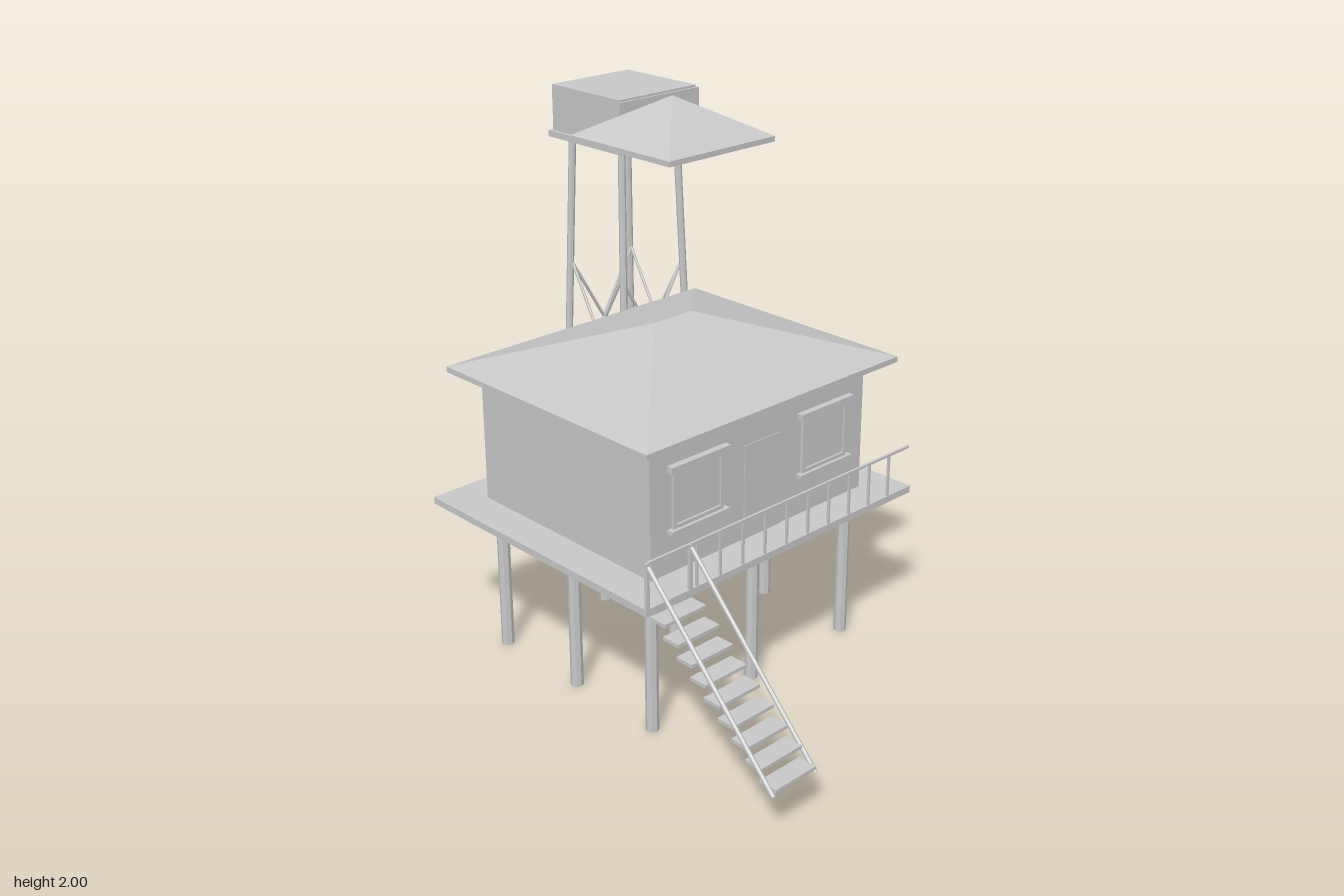
import * as THREE from 'three';

const grey = new THREE.MeshStandardMaterial({ color: 0xc8c8c8, flatShading: true, side: THREE.DoubleSide });
grey.name = 'pale grey';

const HOUSE_Z = -0.105;

function add(parent, name, geometry) {
  const mesh = new THREE.Mesh(geometry, grey);
  mesh.name = name;
  parent.add(mesh);
  return mesh;
}

// box given by its minimum and maximum on each axis
function box(parent, name, [x0, x1], [y0, y1], [z0, z1]) {
  const mesh = add(parent, name, new THREE.BoxGeometry(x1 - x0, y1 - y0, z1 - z0));
  mesh.position.set((x0 + x1) / 2, (y0 + y1) / 2, (z0 + z1) / 2);
  return mesh;
}

// straight round bar between two points
function bar(parent, name, a, b, radius, sides = 8) {
  const from = new THREE.Vector3(...a), to = new THREE.Vector3(...b);
  const dir = to.clone().sub(from);
  const mesh = add(parent, name, new THREE.CylinderGeometry(radius, radius, dir.length(), sides));
  mesh.position.copy(from).add(to).multiplyScalar(0.5);
  mesh.quaternion.setFromUnitVectors(new THREE.Vector3(0, 1, 0), dir.normalize());
  return mesh;
}

// hipped roof with an upright lip; a ridge of 0 makes a pyramid
function hipRoof(halfX, halfZ, lip, height, ridge, closed) {
  const ring = y => [[-halfX, y, halfZ], [halfX, y, halfZ], [halfX, y, -halfZ], [-halfX, y, -halfZ]];
  const low = ring(0), top = ring(lip);
  const left = [-ridge, height, 0], right = [ridge, height, 0];
  const peaks = [[left, right], [right, right], [right, left], [left, left]];
  const points = [];
  const quad = (a, b, c, d) => points.push(...a, ...b, ...c, ...a, ...c, ...d);
  for (let i = 0; i < 4; i++) {
    const j = (i + 1) % 4, [p, q] = peaks[i];
    quad(low[i], low[j], top[j], top[i]);
    points.push(...top[i], ...top[j], ...q);
    if (p !== q && ridge > 0) points.push(...top[i], ...q, ...p);
  }
  if (closed) quad(low[3], low[2], low[1], low[0]);
  const geometry = new THREE.BufferGeometry();
  geometry.setAttribute('position', new THREE.Float32BufferAttribute(points, 3));
  geometry.computeVertexNormals();
  return geometry;
}

function buildHouse() {
  const house = new THREE.Group();
  house.name = 'house';
  box(house, 'deck', [-0.637, 0.637], [0.56, 0.585], [-0.66, 0.443]);
  box(house, 'walls', [-0.503, 0.503], [0.585, 1.06], [-0.527, 0.318]);
  add(house, 'mainRoof', hipRoof(0.588, 0.503, 0.02, 0.183, 0.085, true)).position.set(0, 1.06, HOUSE_Z);
  add(house, 'upperRoof', hipRoof(0.235, 0.235, 0.018, 0.15, 0, false)).position.set(0, 1.85, HOUSE_Z);

  // stilts
  for (const x of [-0.47, 0, 0.47])
    for (const z of [-0.387, 0, 0.387])
      bar(house, 'stilt', [x, 0, HOUSE_Z + z], [x, 0.56, HOUSE_Z + z], 0.023);

  // door and windows
  box(house, 'door', [-0.083, 0.083], [0.585, 0.927], [0.316, 0.321]);
  for (const x of [-0.3, 0.3]) {
    const w = new THREE.Group();
    w.name = 'window';
    house.add(w);
    box(w, 'windowHeader', [x - 0.13, x + 0.13], [0.943, 0.966], [0.318, 0.342]);
    box(w, 'windowSill', [x - 0.13, x + 0.13], [0.728, 0.742], [0.318, 0.342]);
    box(w, 'windowPane', [x - 0.1, x + 0.1], [0.755, 0.93], [0.316, 0.322]);
    for (const s of [-1, 1])
      box(w, 'windowJamb', [x + s * 0.105 - 0.006, x + s * 0.105 + 0.006], [0.742, 0.943], [0.318, 0.33]);
    for (const y of [0.748, 0.935])
      box(w, 'windowRail', [x - 0.1, x + 0.1], [y - 0.007, y + 0.007], [0.318, 0.33]);
  }

  // front railing
  box(house, 'handrail', [-0.63, 0.62], [0.738, 0.747], [0.434, 0.443]);
  for (let i = 0; i < 10; i++) {
    const x = -0.415 + i * 0.1035;
    box(house, 'baluster', [x - 0.004, x + 0.004], [0.585, 0.74], [0.434, 0.442]);
  }
  return house;
}

function buildStairs() {
  const stairs = new THREE.Group();
  stairs.name = 'stairs';
  for (let i = 0; i < 9; i++) {
    const y = 0.555 - i * 0.045, z = 0.482 + i * 0.0595;
    box(stairs, 'tread', [-0.627, -0.45], [y - 0.006, y + 0.006], [z - 0.034, z + 0.034]);
  }
  for (const x of [-0.63, -0.446]) {
    bar(stairs, 'stairRail', [x, 0.735, 0.446], [x, 0.175, 0.985], 0.008, 6);
    box(stairs, 'stairPost', [x - 0.006, x + 0.006], [0.585, 0.745], [0.434, 0.446]);
  }
  return stairs;
}

function buildTower() {
  const tower = new THREE.Group();
  tower.name = 'waterTower';
  tower.position.set(0.404, 0, -0.795);
  box(tower, 'platform', [-0.2, 0.2], [1.673, 1.696], [-0.2, 0.2]);
  box(tower, 'tank', [-0.187, 0.187], [1.696, 1.868], [-0.187, 0.187]);
  box(tower, 'tankPanel', [-0.195, 0.195], [1.765, 1.86], [0.187, 0.196]);

  // splayed legs
  for (const sx of [-1, 1])
    for (const sz of [-1, 1])
      bar(tower, 'leg', [sx * 0.183, 0.172, sz * 0.183], [sx * 0.137, 1.673, sz * 0.137], 0.014);

  // two tiers of cross braces on all four sides
  const bx = 0.15, bz = 0.14;
  for (const [y0, y1] of [[0.175, 0.675], [0.68, 1.18]])
    for (const side of [-1, 1])
      for (const s of [-1, 1]) {
        bar(tower, 'brace', [-s * bx, y0, side * bz], [s * bx, y1, side * bz], 0.006, 6);
        bar(tower, 'brace', [side * bx, y0, -s * bz], [side * bx, y1, s * bz], 0.006, 6);
      }
  return tower;
}

export function createModel() {
  const model = new THREE.Group();
  model.name = 'stiltHouse';
  model.add(buildHouse(), buildStairs(), buildTower());
  return model;
}
